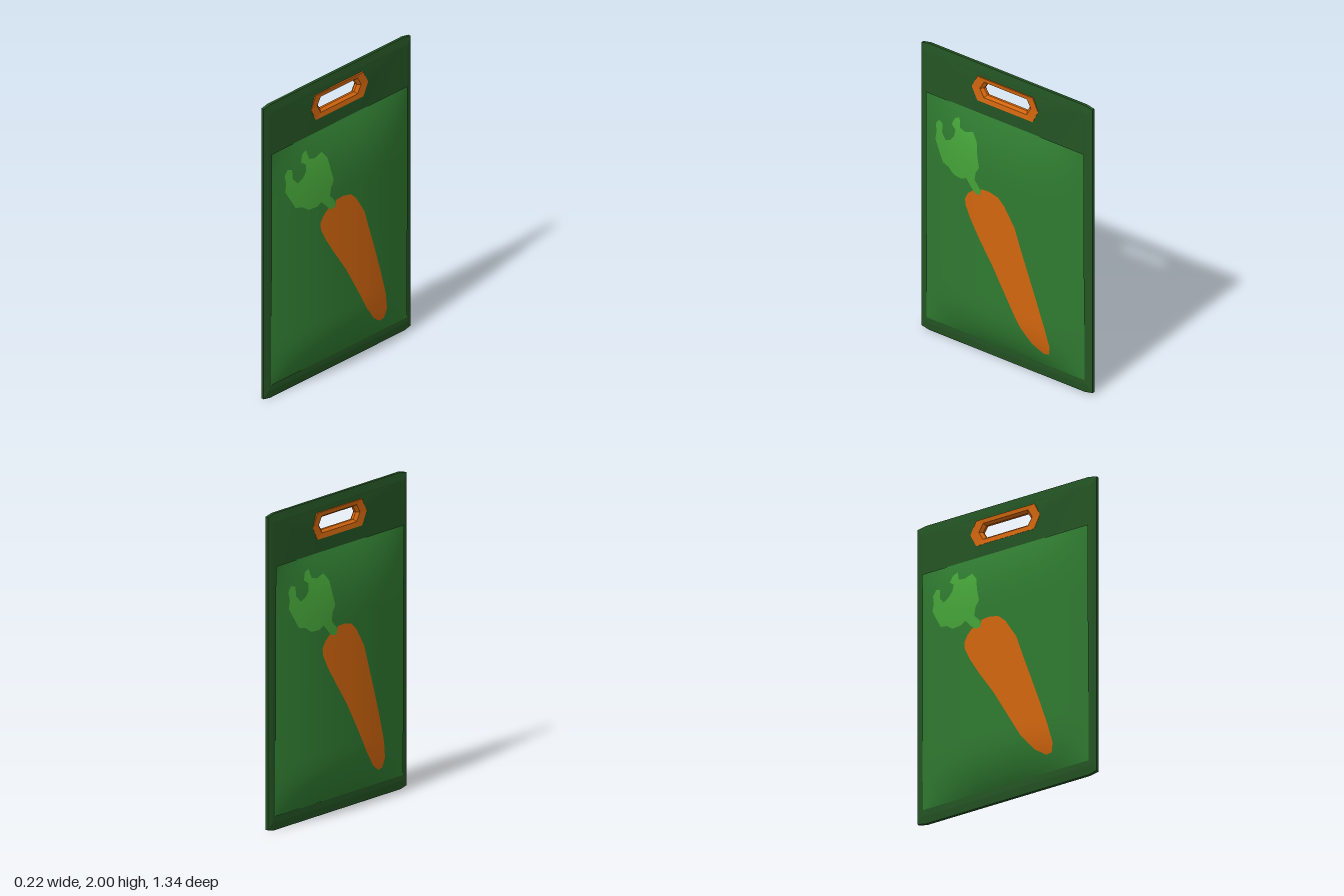
import * as THREE from 'three';

const mat = (name, color) => Object.assign(new THREE.MeshStandardMaterial({ color }), { name });

// Pairs of numbers -> 2D points
const points = (a) => Array.from({ length: a.length / 2 }, (_, i) => new THREE.Vector2(a[2 * i], a[2 * i + 1]));

// Half thickness of the flat board at height v
function boardDepth(v) {
  if (v < 0.1) return 0.012 + 0.1 * v;
  if (v < 1.85) return 0.022 + 0.004 * (v - 0.1);
  return 0.029 - 0.125 * (v - 1.85);
}

// Cushion: steep ramps at top and bottom, long curve from side to side
const CUSHION = { half: 0.62, bottom: 0.09, top: 1.67 };
const ramp = (t) => 1 - Math.pow(1 - THREE.MathUtils.clamp(t, 0, 1), 2.6);
function cushionDepth(u, v) {
  const across = 1 - Math.pow(Math.min(1, Math.abs(u) / CUSHION.half), 2.3);
  const along = ramp((v - CUSHION.bottom) / 0.35) * ramp((CUSHION.top - v) / 0.45);
  return boardDepth(v) + 0.002 + 0.082 * across * along;
}

// Flat-shaded strips of quads between successive closed loops of [u, v, w]
function bands(...loops) {
  const pos = [];
  for (let k = 0; k + 1 < loops.length; k++) {
    const a = loops[k], b = loops[k + 1];
    a.forEach((p, i) => {
      const j = (i + 1) % a.length;
      pos.push(...p, ...a[j], ...b[j], ...p, ...b[j], ...b[i]);
    });
  }
  const g = new THREE.BufferGeometry();
  g.setAttribute('position', new THREE.Float32BufferAttribute(pos, 3));
  g.computeVertexNormals();
  return g;
}
const lift = (loop, depth) => loop.map((p) => [p.x, p.y, typeof depth === 'function' ? depth(p.y) : depth]);

// Eight-cornered outline with lightly cut corners
const outline = (w, cu, y0, y1, cv) => points([
  -w + cu, y0, w - cu, y0, w, y0 + cv, w, y1 - cv, w - cu, y1, -w + cu, y1, -w, y1 - cv, -w, y0 + cv]);

// Long hexagon for the handle slot
const hexagon = (tip, b, y0, y1) => points([
  -tip, (y0 + y1) / 2, -b, y0, b, y0, tip, (y0 + y1) / 2, b, y1, -b, y1]);

// Painted shape: triangulated, subdivided and laid onto the cushion
function decal(loop) {
  const flat = new THREE.ShapeGeometry(new THREE.Shape(loop)).toNonIndexed().getAttribute('position');
  let tris = [];
  for (let i = 0; i < flat.count; i += 3) {
    tris.push([0, 1, 2].map((k) => new THREE.Vector2(flat.getX(i + k), flat.getY(i + k))));
  }
  for (let n = 0; n < 4; n++) {
    tris = tris.flatMap(([a, b, c]) => {
      const ab = a.clone().lerp(b, 0.5), bc = b.clone().lerp(c, 0.5), ca = c.clone().lerp(a, 0.5);
      return [[a, ab, ca], [ab, b, bc], [ca, bc, c], [ab, bc, ca]];
    });
  }
  const pos = [], nor = [], n = new THREE.Vector3(), e = 0.01;
  for (const p of tris.flat()) {
    pos.push(p.x, p.y, cushionDepth(p.x, p.y) + 0.002);
    n.set(cushionDepth(p.x - e, p.y) - cushionDepth(p.x + e, p.y),
      cushionDepth(p.x, p.y - e) - cushionDepth(p.x, p.y + e), 2 * e).normalize();
    nor.push(n.x, n.y, n.z);
  }
  const g = new THREE.BufferGeometry();
  g.setAttribute('position', new THREE.Float32BufferAttribute(pos, 3));
  g.setAttribute('normal', new THREE.Float32BufferAttribute(nor, 3));
  return g;
}

const CARROT = points([
  -0.12, 1.2, -0.06, 1.205, 0.01, 1.19, 0.06, 1.145, 0.14, 1.02, 0.18, 0.9, 0.24, 0.73, 0.3, 0.555,
  0.355, 0.385, 0.385, 0.255, 0.37, 0.195, 0.33, 0.19, 0.255, 0.24, 0.17, 0.345, 0.075, 0.51,
  -0.03, 0.69, -0.14, 0.85, -0.21, 0.96, -0.25, 1.04, -0.255, 1.085, -0.23, 1.13, -0.19, 1.165, -0.13, 1.155]);

const LEAVES = points([
  -0.13, 1.155, -0.125, 1.19, -0.175, 1.245, -0.165, 1.3, -0.14, 1.34, -0.16, 1.42, -0.175, 1.5,
  -0.215, 1.55, -0.275, 1.53, -0.32, 1.54, -0.335, 1.6, -0.37, 1.585, -0.39, 1.54, -0.355, 1.515,
  -0.36, 1.47, -0.39, 1.435, -0.43, 1.415, -0.465, 1.455, -0.465, 1.515, -0.5, 1.525, -0.525, 1.49,
  -0.515, 1.44, -0.525, 1.385, -0.485, 1.315, -0.45, 1.255, -0.4, 1.245, -0.35, 1.21, -0.285, 1.21,
  -0.245, 1.23, -0.2, 1.18, -0.165, 1.15]);

export function createModel() {
  const frameGreen = mat('frame green', 0x245424);
  const cushionGreen = mat('cushion green', 0x2f7a30);
  const carrotOrange = mat('carrot orange', 0xd2660e);
  const leafGreen = mat('leaf green', 0x45a338);

  // Board: edge wall, bevel and flat face with the handle slot cut out
  const edge = outline(0.67, 0.06, 0, 2, 0.012);
  const inset = outline(0.63, 0.03, 0.05, 1.95, 0.01);
  const slot = hexagon(0.26, 0.217, 1.752, 1.92);
  const rimGeo = bands(lift(edge, 0), lift(edge, 0.01), lift(inset, boardDepth));
  const faceShape = new THREE.Shape(inset);
  faceShape.holes.push(new THREE.Path(slot));
  const faceGeo = new THREE.ShapeGeometry(faceShape);
  const fp = faceGeo.getAttribute('position');
  for (let i = 0; i < fp.count; i++) fp.setZ(i, boardDepth(fp.getY(i)));
  faceGeo.computeVertexNormals();

  // Handle grip: raised lip funnelling into the slot
  const lip = hexagon(0.2, 0.168, 1.785, 1.893);
  const hole = hexagon(0.18, 0.155, 1.8, 1.88);
  const gripGeo = bands(lift(slot, 0.018), lift(slot, 0.03), lift(lip, 0.026), lift(hole, 0.008), lift(hole, 0));

  // Cushion: grid raised by the depth rule
  const height = CUSHION.top - CUSHION.bottom;
  const cushionGeo = new THREE.PlaneGeometry(CUSHION.half * 2, height, 48, 60);
  cushionGeo.translate(0, CUSHION.bottom + height / 2, 0);
  const cp = cushionGeo.getAttribute('position');
  for (let i = 0; i < cp.count; i++) cp.setZ(i, cushionDepth(cp.getX(i), cp.getY(i)));
  cushionGeo.computeVertexNormals();

  const parts = [
    ['boardEdge', rimGeo, frameGreen],
    ['boardFace', faceGeo, frameGreen],
    ['handleGrip', gripGeo, carrotOrange],
    ['cushion', cushionGeo, cushionGreen],
    ['carrot', decal(CARROT), carrotOrange],
    ['carrotLeaves', decal(LEAVES), leafGreen],
  ];

  // The same half, turned to face each side
  const model = new THREE.Group();
  model.name = 'carrotBoard';
  for (const [name, turn] of [['leftSide', 1], ['rightSide', -1]]) {
    const side = new THREE.Group();
    side.name = name;
    side.rotation.y = turn * Math.PI / 2;
    for (const [part, geo, material] of parts) {
      const mesh = new THREE.Mesh(geo, material);
      mesh.name = part;
      side.add(mesh);
    }
    model.add(side);
  }
  return model;
}
